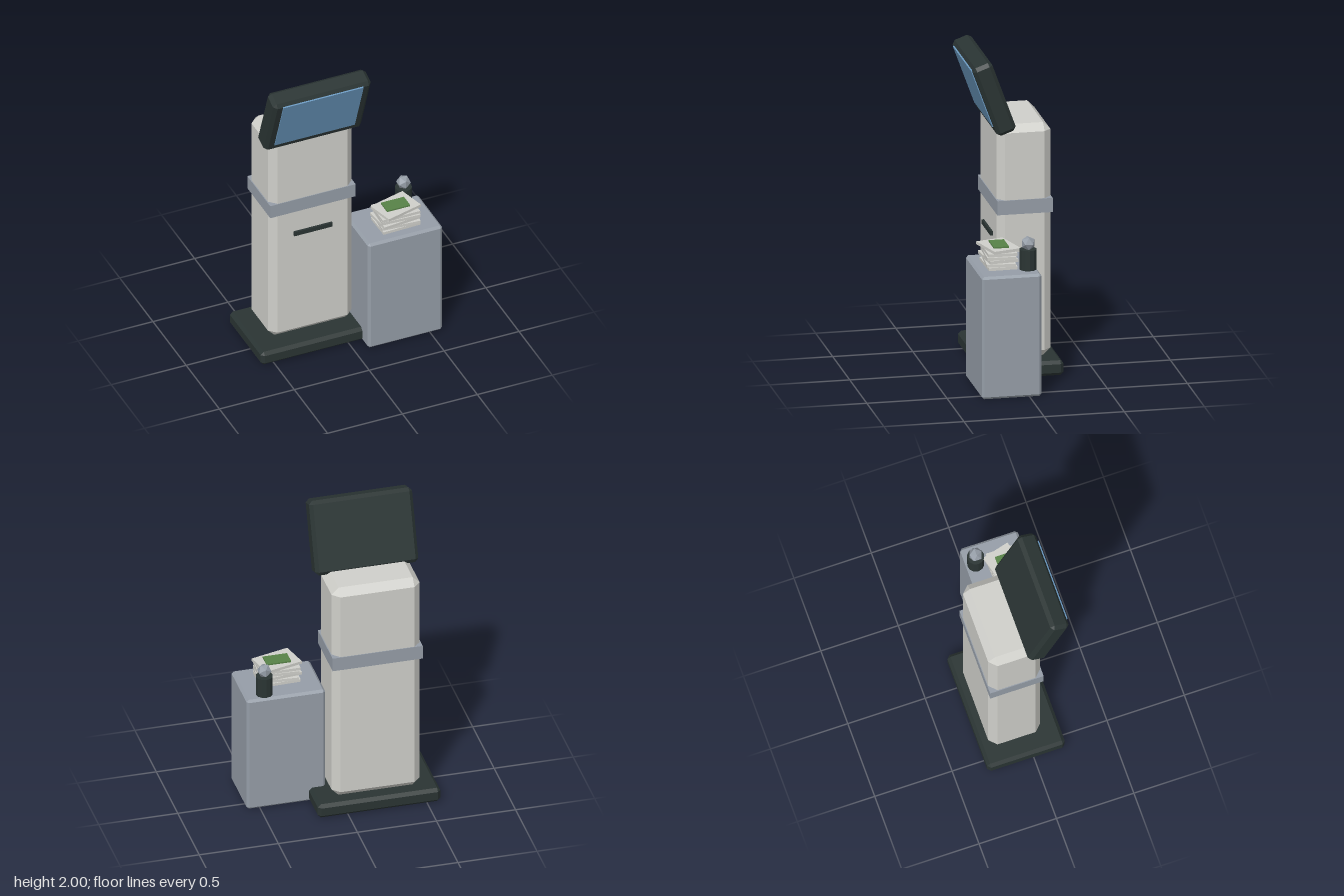
import * as THREE from 'three';
import { ConvexGeometry } from 'three/addons/geometries/ConvexGeometry.js';

const mat = (name, color) => {
  const m = new THREE.MeshStandardMaterial({ color });
  m.name = name;
  return m;
};

// Box with every edge cut off at 45 degrees
function chamferBox(w, h, d, c) {
  const pts = [];
  for (const sx of [-1, 1]) for (const sy of [-1, 1]) for (const sz of [-1, 1]) {
    const x = w / 2, y = h / 2, z = d / 2;
    pts.push(
      new THREE.Vector3(sx * x, sy * (y - c), sz * (z - c)),
      new THREE.Vector3(sx * (x - c), sy * y, sz * (z - c)),
      new THREE.Vector3(sx * (x - c), sy * (y - c), sz * z)
    );
  }
  return new ConvexGeometry(pts);
}

export function createModel() {
  const casing = mat('casing off-white', 0xcfcfca);
  const grey = mat('cool grey', 0x959da7);
  const dark = mat('dark trim', 0x2a3433);
  const glass = mat('screen blue', 0x6a98bf);
  const green = mat('note green', 0x578247);
  for (const m of [casing, grey, dark, green]) m.flatShading = true;

  const root = new THREE.Group();
  root.name = 'kiosk';
  const add = (name, geo, material, x, y, z, parent = root) => {
    const mesh = new THREE.Mesh(geo, material);
    mesh.name = name;
    mesh.position.set(x, y, z);
    parent.add(mesh);
    return mesh;
  };

  // Pedestal
  const cx = -0.197;
  add('base', chamferBox(0.775, 0.094, 0.502, 0.02), dark, cx, 0.049, -0.046);
  add('column', chamferBox(0.558, 1.485, 0.336, 0.045), casing, cx, 0.8375, -0.075);
  add('band', new THREE.BoxGeometry(0.57, 0.09, 0.346), grey, cx, 1.063, -0.075);
  add('slot', new THREE.BoxGeometry(0.255, 0.028, 0.03), dark, cx, 0.857, 0.093);

  // Monitor, leaning forward
  const monitor = new THREE.Group();
  monitor.name = 'monitor';
  monitor.position.set(cx, 1.765, 0.12);
  monitor.rotation.x = 0.35;
  root.add(monitor);
  add('monitorCase', chamferBox(0.652, 0.469, 0.126, 0.022), dark, 0, 0, 0, monitor);
  add('screen', new THREE.BoxGeometry(0.535, 0.39, 0.009), glass, 0, 0.021, 0.0645, monitor);

  // Side cabinet
  add('cabinet', chamferBox(0.497, 0.78, 0.373, 0.015), grey, 0.334, 0.39, 0.1105);

  // Stack of papers, each turned a little: [turn, x shift, z shift]
  const stack = new THREE.Group();
  stack.name = 'paperStack';
  stack.position.set(0.335, 0.78, 0.143);
  root.add(stack);
  const sheet = new THREE.BoxGeometry(0.25, 0.018, 0.18);
  [[0.03, 0, 0], [-0.08, 0.005, 0], [0.1, -0.005, 0.002], [-0.05, 0.004, 0], [0, 0, -0.002], [0.26, 0, 0]]
    .forEach(([turn, dx, dz], i) => {
      add('paper', sheet, casing, dx, 0.011 + i * 0.0216, dz, stack).rotation.y = turn;
    });
  add('greenNote', new THREE.BoxGeometry(0.154, 0.009, 0.095), green, 0, 0.1325, -0.002, stack);

  // Bottle with faceted stopper
  add('bottle', new THREE.CylinderGeometry(0.053, 0.053, 0.128, 12), dark, 0.457, 0.844, -0.015);
  add('stopper', new THREE.IcosahedronGeometry(0.046, 0), grey, 0.457, 0.944, -0.015);

  return root;
}
